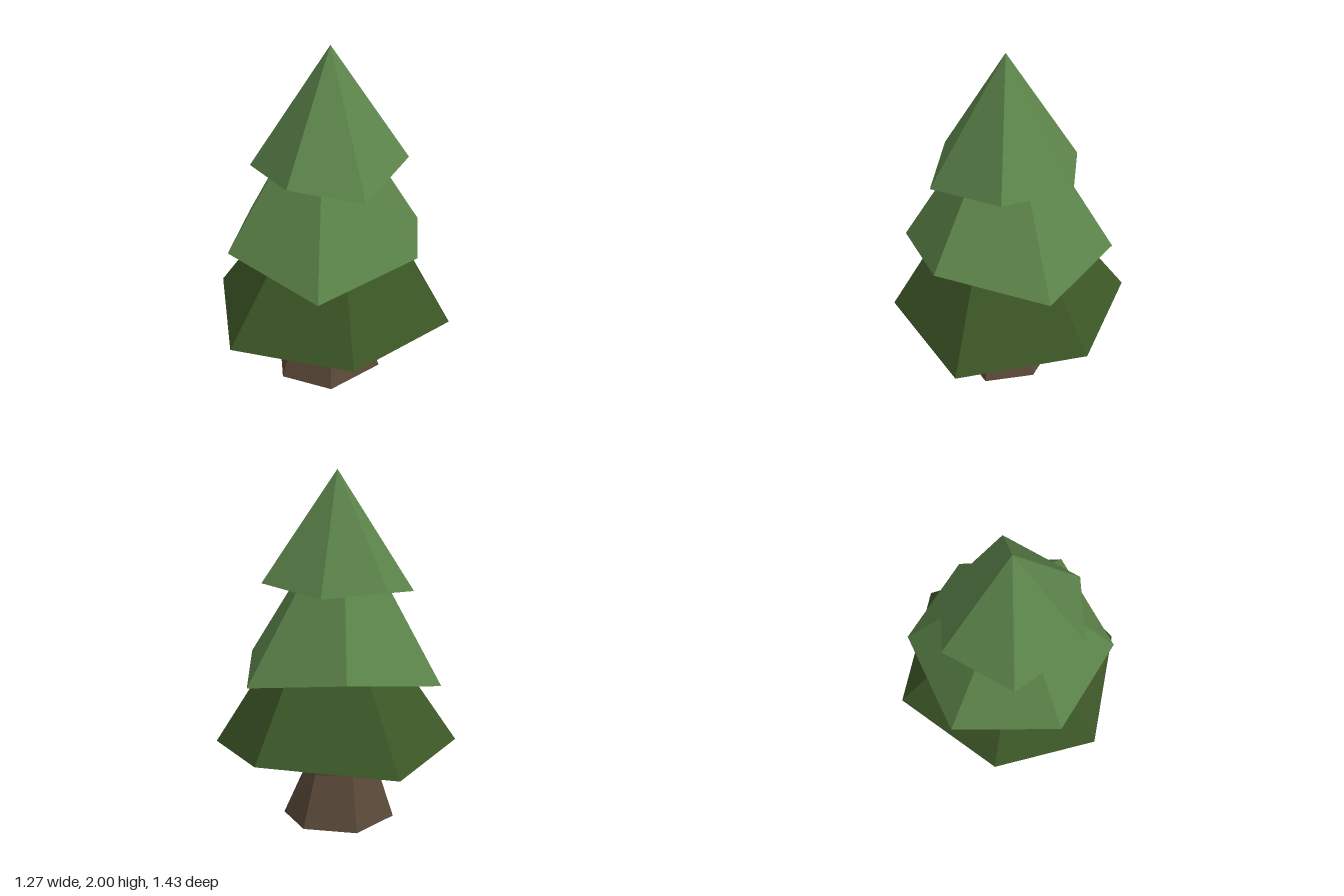
import * as THREE from 'three';

const lightGreen = new THREE.MeshStandardMaterial({ color: 0x5c844a, flatShading: true });
lightGreen.name = 'lightGreen';
const darkGreen = new THREE.MeshStandardMaterial({ color: 0x3c5626, flatShading: true });
darkGreen.name = 'darkGreen';
const bark = new THREE.MeshStandardMaterial({ color: 0x5a4939, flatShading: true });
bark.name = 'bark';

// Joins rings of [x, y, z] points, bottom to top, and caps both ends
function loft(name, rings, material) {
  const pos = [];
  const tri = (a, b, c) => pos.push(...a, ...b, ...c);
  const centre = (ring) => [0, 1, 2].map((k) => ring.reduce((s, p) => s + p[k], 0) / ring.length);
  const n = rings[0].length;
  const low = rings[0], high = rings[rings.length - 1];
  const lowMid = centre(low), highMid = centre(high);
  for (let i = 0; i < n; i++) {
    const j = (i + 1) % n;
    for (let r = 0; r + 1 < rings.length; r++) {
      const a = rings[r], b = rings[r + 1];
      tri(a[i], b[i], a[j]);
      tri(b[i], b[j], a[j]);
    }
    tri(lowMid, low[i], low[j]);
    tri(highMid, high[j], high[i]);
  }
  const geometry = new THREE.BufferGeometry();
  geometry.setAttribute('position', new THREE.Float32BufferAttribute(pos, 3));
  geometry.computeVertexNormals();
  const mesh = new THREE.Mesh(geometry, material);
  mesh.name = name;
  return mesh;
}

// A tier of branches: its uneven rim drawn a given fraction towards an apex
function tier(name, rim, apex, fraction, material) {
  const top = rim.map((p) => p.map((v, k) => v + (apex[k] - v) * fraction));
  return loft(name, [rim, top], material);
}

export function createModel() {
  const tree = new THREE.Group();
  tree.name = 'pineTree';

  // Trunk with flared foot and narrow waist
  tree.add(loft('trunk', [
    [[0.03, 0, -0.305], [0.3, 0, -0.18], [0.28, 0, 0.19], [0.005, 0, 0.345], [-0.24, 0, 0.18], [-0.24, 0, -0.16]],
    [[0.03, 0.29, -0.205], [0.22, 0.265, -0.085], [0.215, 0.28, 0.14], [0.015, 0.27, 0.265], [-0.155, 0.3, 0.13], [-0.155, 0.29, -0.09]],
    [[0.03, 0.5, -0.235], [0.215, 0.5, -0.11], [0.215, 0.5, 0.14], [0.015, 0.5, 0.265], [-0.165, 0.5, 0.13], [-0.165, 0.5, -0.1]],
  ], bark));

  // Three tiers of branches, each hidden top tucked into the tier above
  tree.add(tier('lowerBranches', [
    [-0.02, 0.475, -0.72], [0.635, 0.425, -0.405], [0.62, 0.44, 0.32],
    [0.035, 0.425, 0.715], [-0.52, 0.47, 0.4], [-0.64, 0.43, -0.32],
  ], [0.08, 1.5, 0], 0.55, darkGreen));

  tree.add(tier('middleBranches', [
    [0.155, 0.84, -0.6], [0.585, 0.945, -0.15], [0.45, 0.825, 0.425],
    [-0.155, 0.905, 0.57], [-0.59, 0.835, 0.125], [-0.4, 0.9, -0.445],
  ], [0, 1.82, 0.01], 0.62, lightGreen));

  tree.add(tier('upperBranches', [
    [-0.16, 1.31, -0.365], [0.29, 1.375, -0.35], [0.44, 1.3, 0.1],
    [0.165, 1.365, 0.395], [-0.275, 1.32, 0.315], [-0.4, 1.34, -0.1],
  ], [0.025, 2, -0.01], 1, lightGreen));

  return tree;
}
